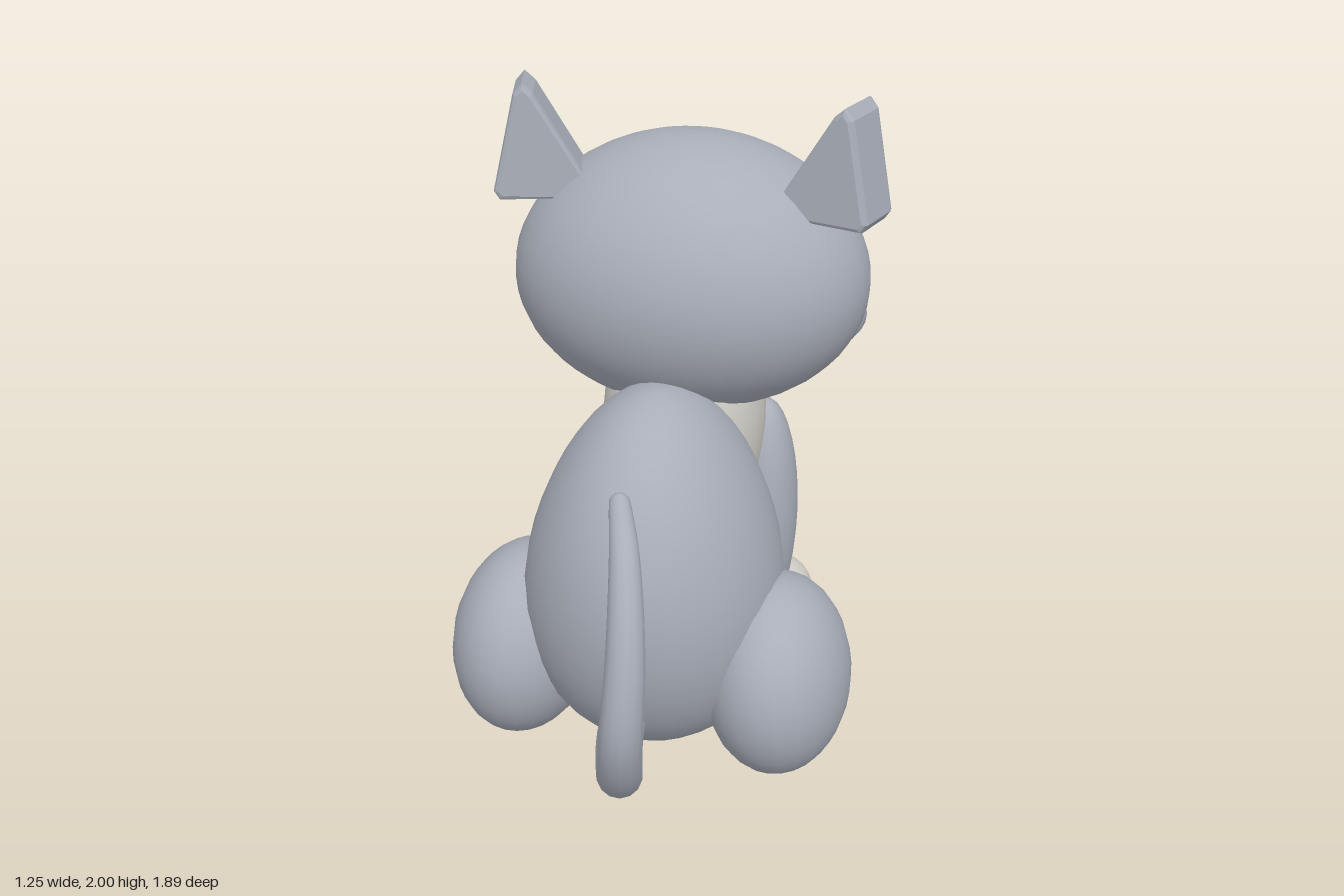
import * as THREE from 'three';

const paint = (name, color) => Object.assign(new THREE.MeshStandardMaterial({ color }), { name });

export function createModel() {
  const fur = paint('grey fur', 0xa9aeb9);
  const cream = paint('cream fur', 0xd3d0c9);
  const teal = paint('teal eye', 0x6c8c86);
  const navy = paint('dark pupil', 0x222a38);
  const pink = paint('pink skin', 0xc56c8a);
  const white = paint('eye glint', 0xeeeeee);
  const black = paint('mouth line', 0x18181c);

  const model = new THREE.Group();
  model.name = 'sittingCat';

  const add = (name, geometry, material, parent = model) => {
    const mesh = new THREE.Mesh(geometry, material);
    mesh.name = name;
    parent.add(mesh);
    return mesh;
  };

  // Ellipsoid, optionally narrowing in x toward the top
  const blob = (name, material, pos, radii, { taper = 0, rot = [0, 0, 0], seg = 24 } = {}) => {
    const g = new THREE.SphereGeometry(1, seg, Math.round(seg * 0.75));
    const p = g.attributes.position;
    for (let i = 0; i < p.count; i++) p.setX(i, p.getX(i) * (1 - taper * p.getY(i)));
    g.scale(...radii);
    g.computeVertexNormals();
    // Weld shading along the sphere seam
    const n = g.attributes.normal, cols = seg + 1;
    for (let r = 0; r < p.count / cols; r++) {
      const a = r * cols, b = a + seg;
      const v = new THREE.Vector3().fromBufferAttribute(n, a)
        .add(new THREE.Vector3().fromBufferAttribute(n, b)).normalize();
      n.setXYZ(a, v.x, v.y, v.z);
      n.setXYZ(b, v.x, v.y, v.z);
    }
    const mesh = add(name, g, material);
    mesh.position.set(...pos);
    mesh.rotation.set(...rot);
    return mesh;
  };

  // Torso, chest and head
  blob('body', fur, [0, 0.635, 0.07], [0.39, 0.585, 0.45], { taper: 0.18, seg: 32 });
  blob('chest', cream, [0, 0.92, -0.3], [0.25, 0.47, 0.3], { taper: -0.1 });
  blob('head', fur, [0, 1.425, -0.37], [0.545, 0.42, 0.44], { taper: 0.04, seg: 36 });

  const shape = (points) => new THREE.Shape(points.map(([x, y]) => new THREE.Vector2(x, y)));

  for (const s of [1, -1]) {
    const side = s > 0 ? 'left' : 'right';

    // Legs and paws
    blob(side + 'Haunch', fur, [s * 0.4, 0.345, 0.133], [0.223, 0.315, 0.298], { rot: [0, 0, s * 0.08] });
    blob(side + 'HindPaw', cream, [s * 0.41, 0.11, -0.07], [0.15, 0.09, 0.197], { rot: [0.06, -s * 0.2, 0] });
    blob(side + 'FrontLeg', fur, [s * 0.22, 0.52, -0.5], [0.115, 0.42, 0.135]);
    blob(side + 'FrontPaw', cream, [s * 0.23, 0.113, -0.643], [0.145, 0.108, 0.19]);

    // Cheeks and muzzle
    blob(side + 'Cheek', fur, [s * 0.37, 1.222, -0.61], [0.142, 0.122, 0.122], { seg: 18 });
    blob(side + 'Muzzle', fur, [s * 0.11, 1.225, -0.765], [0.15, 0.1, 0.145], { seg: 20 });

    // Eyes; glints fall on the same side of both
    const tilt = [0, -s * 0.12, 0];
    blob(side + 'Eye', teal, [s * 0.25, 1.435, -0.77], [0.132, 0.166, 0.053], { rot: tilt });
    blob(side + 'Pupil', navy, [s * 0.235, 1.432, -0.826], [0.102, 0.124, 0.03], { rot: tilt });
    blob(side + 'LargeGlint', white, [s * 0.235 - 0.025, 1.475, -0.852], [0.021, 0.029, 0.01], { seg: 12 });
    blob(side + 'SmallGlint', white, [s * 0.235 + 0.035, 1.385, -0.85], [0.011, 0.013, 0.008], { seg: 10 });

    // Thick triangular ear, turned outward
    const ear = new THREE.Group();
    ear.name = side + 'Ear';
    ear.position.set(s * 0.45, 1.65, -0.285);
    ear.rotation.set(-0.05, -s * 0.27, 0);
    model.add(ear);
    const mirror = (pts) => pts.map(([x, y]) => [s * x, y]);
    const shell = new THREE.ExtrudeGeometry(
      shape(mirror([[-0.165, 0.02], [0.105, 0.02], [0.115, 0.035], [0.055, 0.315], [0.04, 0.333], [0.02, 0.315]])),
      { depth: 0.16, bevelThickness: 0.018, bevelSize: 0.014, bevelSegments: 2 });
    shell.translate(0, 0, -0.08);
    add('earShell', shell, fur, ear);
    const inner = new THREE.ExtrudeGeometry(
      shape(mirror([[-0.1, 0.04], [0.085, 0.04], [0.035, 0.255]])),
      { depth: 0.008, bevelEnabled: false });
    inner.translate(0, 0, -0.105);
    add('innerEar', inner, pink, ear);

    // Half of the mouth
    const lip = new THREE.TorusGeometry(0.03, 0.006, 6, 12, Math.PI);
    const half = add(side + 'Lip', lip, black);
    half.position.set(s * 0.03, 1.195, -0.897);
    half.rotation.z = Math.PI;
  }

  // Nose and the line beneath it
  const nose = new THREE.ExtrudeGeometry(
    shape([[-0.03, 0.02], [0, -0.016], [0.03, 0.02]]),
    { depth: 0.055, bevelThickness: 0.008, bevelSize: 0.01, bevelSegments: 2 });
  add('nose', nose, pink).position.set(0, 1.25, -0.937);
  add('mouthLine', new THREE.CylinderGeometry(0.006, 0.006, 0.05, 6), black).position.set(0, 1.215, -0.897);
  blob('muzzleCentre', fur, [0, 1.235, -0.79], [0.07, 0.085, 0.105], { seg: 16 });

  // Tail: a tube thinned toward its tip
  const path = new THREE.CatmullRomCurve3([
    [-0.01, 0.3, 0.4], [0.02, 0.305, 0.56], [0.08, 0.38, 0.76], [0.12, 0.6, 0.883],
    [0.125, 0.85, 0.845], [0.09, 1.06, 0.72], [0.04, 1.145, 0.585],
  ].map((p) => new THREE.Vector3(...p)));
  const steps = 40, sides = 14;
  const tail = new THREE.TubeGeometry(path, steps, 0.07, sides);
  const tp = tail.attributes.position;
  const v = new THREE.Vector3();
  for (let i = 0; i < tp.count; i++) {
    const t = Math.floor(i / (sides + 1)) / steps;
    const c = path.getPointAt(t);
    v.fromBufferAttribute(tp, i).sub(c).multiplyScalar(1 - 0.25 * t - 0.33 * t ** 4).add(c);
    tp.setXYZ(i, v.x, v.y, v.z);
  }
  add('tail', tail, fur);
  blob('tailTip', fur, [0.04, 1.145, 0.585], [0.029, 0.029, 0.029], { seg: 12 });

  return model;
}
